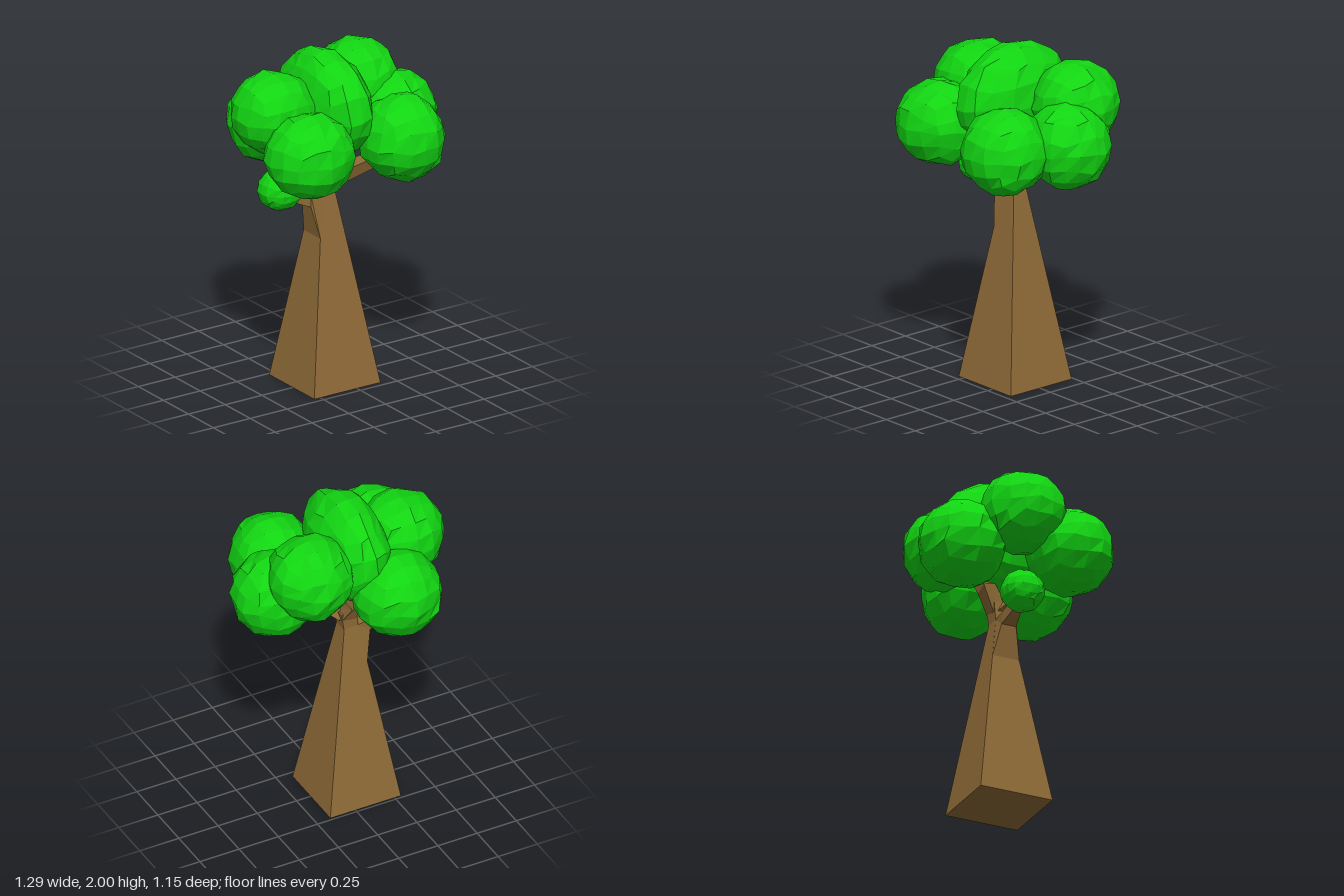
import * as THREE from 'three';

const bark = new THREE.MeshStandardMaterial({ color: 0x8f6b37, flatShading: true });
const leaf = new THREE.MeshStandardMaterial({ color: 0x12d512, flatShading: true });
const V = (x, y, z) => new THREE.Vector3(x, y, z);

// Solid through four-cornered rings, each counterclockwise about the growth direction
function loft(rings) {
  const pos = [];
  const quad = (a, b, c, d) => [a, b, c, a, c, d].forEach(p => pos.push(p.x, p.y, p.z));
  for (let k = 0; k < rings.length - 1; k++) {
    const r = rings[k], s = rings[k + 1];
    for (let i = 0; i < 4; i++) quad(r[i], r[(i + 1) % 4], s[(i + 1) % 4], s[i]);
  }
  const [a, b, c, d] = rings[0];
  quad(d, c, b, a);
  quad(...rings[rings.length - 1]);
  const g = new THREE.BufferGeometry();
  g.setAttribute('position', new THREE.Float32BufferAttribute(pos, 3));
  g.computeVertexNormals();
  return g;
}

// Square-section branch along a polyline; each point is [x, y, z, halfWidth]
function limb(points) {
  const p = points.map(q => V(q[0], q[1], q[2]));
  return loft(p.map((c, i) => {
    const dir = p[Math.min(i + 1, p.length - 1)].clone().sub(p[Math.max(i - 1, 0)]).normalize();
    const u = dir.clone().cross(V(0, 0, 1)).normalize();
    const v = dir.clone().cross(u);
    const h = points[i][3];
    return [[1, 1], [-1, 1], [-1, -1], [1, -1]].map(([a, b]) =>
      c.clone().addScaledVector(u, a * h).addScaledVector(v, b * h));
  }));
}

// Repeatable noise in -1..1 from a position
function noise(p, seed) {
  const s = Math.sin(p.x * 12.99 + p.y * 78.23 + p.z * 37.72 + seed * 4.13) * 43758.55;
  return (s - Math.floor(s)) * 2 - 1;
}

// Leaf clump: a subdivided cube rounded to a ball and slightly roughened
function clump([x, y, z, rx, ry, rz], seed) {
  const g = new THREE.BoxGeometry(2, 2, 2, 4, 4, 4);
  const a = g.attributes.position, p = V(0, 0, 0);
  for (let i = 0; i < a.count; i++) {
    p.fromBufferAttribute(a, i);
    const key = V(Math.round(p.x * 2), Math.round(p.y * 2), Math.round(p.z * 2));
    p.set(...p.toArray().map(t => Math.tan(t * Math.PI / 4))).normalize();
    p.x += noise(key, seed) * 0.06;
    p.y += noise(key, seed + 20) * 0.06;
    p.z += noise(key, seed + 40) * 0.06;
    p.normalize().multiplyScalar(1.01 + noise(key, seed + 60) * 0.035);
    a.setXYZ(i, x + p.x * rx, y + p.y * ry, z + p.z * rz);
  }
  g.computeVertexNormals();
  return g;
}

export function createModel() {
  const tree = new THREE.Group();
  tree.name = 'tree';
  const add = (name, geometry, material) => {
    const m = new THREE.Mesh(geometry, material);
    m.name = name;
    tree.add(m);
  };

  // Tapered square trunk
  const level = (y, x0, x1, z0, z1) => [V(x1, y, z0), V(x0, y, z0), V(x0, y, z1), V(x1, y, z1)];
  add('trunk', loft([level(0, -0.29, 0.16, -0.235, 0.215), level(1.14, -0.115, -0.025, -0.055, 0.035)]), bark);

  // Low side branch flaring out of the trunk
  const slice = (xb, yb, hb, xt, yt, ht) => [
    V(xt, yt, -0.01 - ht), V(xb, yb, -0.01 - hb), V(xb, yb, -0.01 + hb), V(xt, yt, -0.01 + ht)];
  add('sideBranch', loft([
    slice(-0.15, 0.88, 0.086, -0.11, 1.14, 0.045),
    slice(-0.19, 1.08, 0.045, -0.19, 1.15, 0.045),
    slice(-0.28, 1.12, 0.03, -0.28, 1.19, 0.03),
    slice(-0.36, 1.16, 0.02, -0.36, 1.22, 0.02)]), bark);

  // Forked branches at the top
  const branches = {
    forkStem: [[-0.07, 1.13, -0.01, 0.045], [-0.055, 1.25, -0.01, 0.05]],
    rightFrontBranch: [[-0.05, 1.22, 0, 0.045], [0.01, 1.25, 0.05, 0.04], [0.2, 1.4, 0.25, 0.03]],
    leftFrontBranch: [[-0.06, 1.21, 0, 0.045], [-0.12, 1.28, 0.06, 0.04], [-0.3, 1.43, 0.2, 0.03]],
    backBranch: [[-0.055, 1.22, -0.02, 0.045], [-0.07, 1.34, -0.09, 0.04], [0.1, 1.58, -0.13, 0.03]],
  };
  for (const [name, pts] of Object.entries(branches)) add(name, limb(pts), bark);

  // Leaf clumps: centre and radii
  const clumps = {
    crownFoliage: [-0.07, 1.68, 0, 0.2, 0.32, 0.375],
    frontLeftFoliage: [-0.37, 1.515, 0.28, 0.26, 0.245, 0.25],
    frontRightFoliage: [0.235, 1.505, 0.32, 0.245, 0.25, 0.25],
    middleLeftFoliage: [-0.4, 1.68, -0.03, 0.25, 0.24, 0.245],
    backFoliage: [-0.22, 1.505, -0.32, 0.255, 0.25, 0.25],
    backRightFoliage: [0.26, 1.685, -0.18, 0.24, 0.245, 0.25],
    outerRightFoliage: [0.395, 1.51, -0.005, 0.25, 0.25, 0.24],
    smallFoliage: [-0.37, 1.215, -0.015, 0.125, 0.12, 0.125],
  };
  Object.entries(clumps).forEach(([name, c], i) => add(name, clump(c, i + 1), leaf));

  return tree;
}
